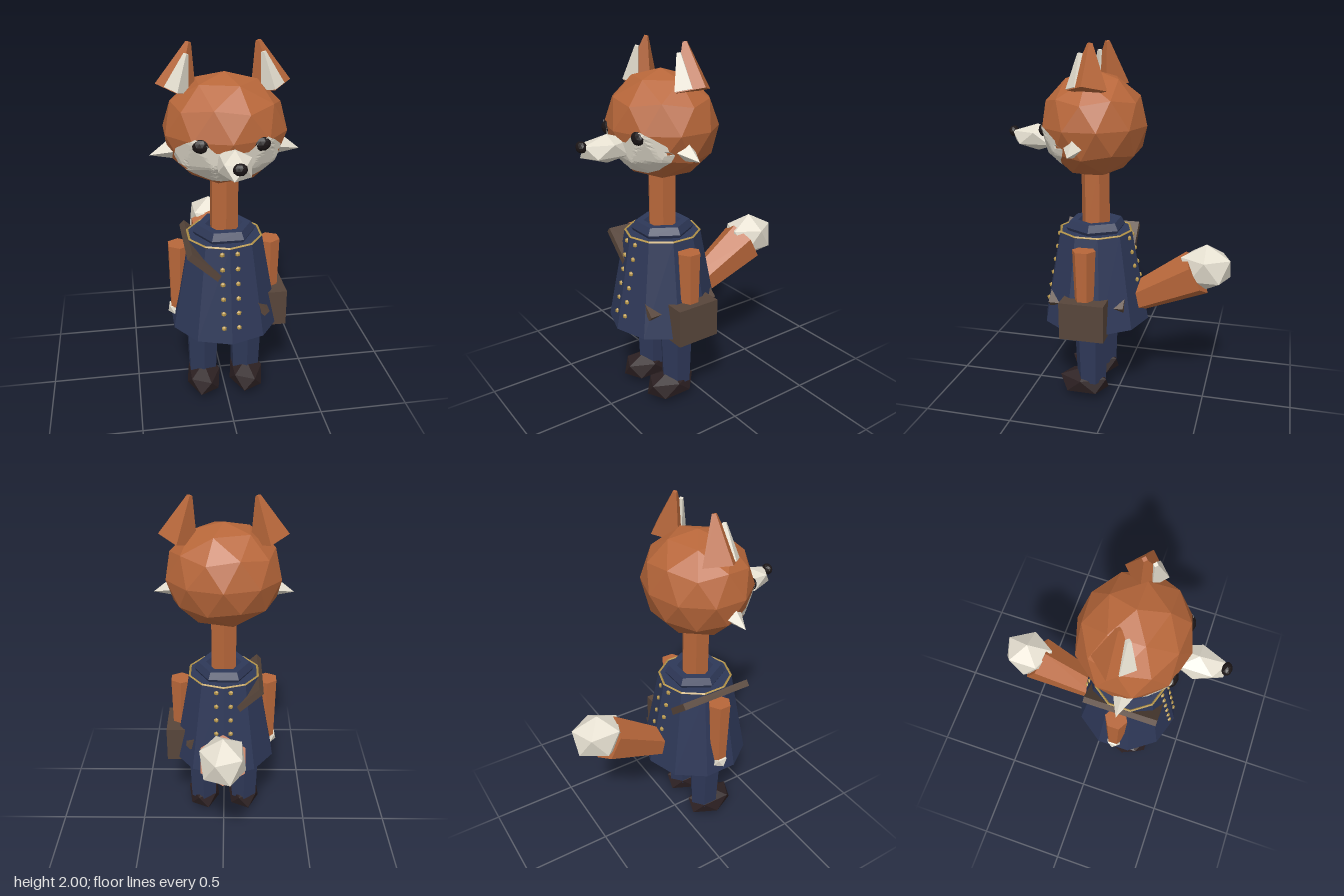
import * as THREE from 'three';

const paint = (name, color) => {
  const m = new THREE.MeshStandardMaterial({ color, flatShading: true });
  m.name = name;
  return m;
};

// Icosahedron with a corner straight up, optionally subdivided
function ico(rx, ry, rz, detail = 0) {
  const v = [0, 1, 0, 0, -1, 0], f = [];
  for (let k = 0; k < 5; k++) {
    const a = k * Math.PI * 0.4, b = a + Math.PI * 0.2, r = 0.8944;
    v.push(r * Math.cos(a), 0.4472, r * Math.sin(a), r * Math.cos(b), -0.4472, r * Math.sin(b));
    const u = 2 + 2 * k, l = u + 1, u2 = 2 + 2 * ((k + 1) % 5), l2 = u2 + 1;
    f.push(0, u2, u, u, u2, l, u2, l2, l, 1, l, l2);
  }
  return new THREE.PolyhedronGeometry(v, f, 1, detail).scale(rx, ry, rz);
}

const tube = (top, bottom, height, sides) => new THREE.CylinderGeometry(top, bottom, height, sides);

export function createModel() {
  const fox = new THREE.Group();
  fox.name = 'fox';
  const orange = paint('orange fur', 0xb8673a);
  const cream = paint('cream fur', 0xe4decf);
  const navy = paint('navy cloth', 0x2e3858);
  const brown = paint('brown leather', 0x57453a);
  const dark = paint('dark boot', 0x2c2022);
  const black = paint('black', 0x1c1617);
  const gold = paint('gold', 0xb5954a);
  const Z = 0.135; // centre line of the body in depth

  const add = (name, geometry, material, x, y, z, rx = 0, ry = 0, rz = 0) => {
    const mesh = new THREE.Mesh(geometry, material);
    mesh.name = name;
    mesh.position.set(x, y, z);
    mesh.rotation.set(rx, ry, rz);
    fox.add(mesh);
    return mesh;
  };

  // Head, neck, muzzle and nose
  const head = add('head', ico(0.32, 0.285, 0.287, 1).translate(0, 1.575, Z), orange, 0, 0, 0);
  add('neck', tube(0.08, 0.08, 0.36, 6), orange, 0, 1.16, Z);
  add('muzzle', ico(0.09, 0.073, 0.162), cream, 0, 1.493, 0.46);
  add('nose', ico(0.035, 0.03, 0.026, 1), black, 0, 1.52, 0.6);

  // Pale face mask laid onto the facets of the head
  const half = [[0, 1.53], [0.08, 1.53], [0.13, 1.575], [0.175, 1.595], [0.215, 1.57], [0.26, 1.525],
    [0.265, 1.48], [0.245, 1.44], [0.175, 1.39], [0.085, 1.355], [0, 1.35]];
  const outline = [...half, ...half.slice(1, -1).reverse().map(([x, y]) => [-x, y])];
  const loop = [];
  outline.forEach(([x, y], i) => {
    const [x2, y2] = outline[(i + 1) % outline.length];
    for (const t of [0, 0.5]) loop.push([x + (x2 - x) * t, y + (y2 - y) * t]);
  });
  const n = loop.length, rings = 14, pos = [], idx = [];
  const ray = new THREE.Raycaster();
  for (let r = 0; r <= rings; r++) {
    for (const [x, y] of loop) {
      const px = x * r / rings, py = 1.46 + (y - 1.46) * r / rings;
      ray.set(new THREE.Vector3(px, py, 2), new THREE.Vector3(0, 0, -1));
      const hit = ray.intersectObject(head)[0];
      pos.push(px, py, (hit ? hit.point.z : Z) + 0.007);
    }
  }
  for (let r = 0; r < rings; r++) {
    for (let i = 0; i < n; i++) {
      const a = r * n + i, b = r * n + (i + 1) % n;
      idx.push(a, b, b + n, a, b + n, a + n);
    }
  }
  // The outline runs clockwise seen from the front, so flip each triangle
  for (let i = 0; i < idx.length; i += 3) [idx[i + 1], idx[i + 2]] = [idx[i + 2], idx[i + 1]];
  for (let i = 0; i < idx.length; i += 3) [idx[i + 1], idx[i + 2]] = [idx[i + 2], idx[i + 1]];
  for (let i = 0; i < idx.length; i += 3) {
    const area = (pos[idx[i + 1] * 3] - pos[idx[i] * 3]) * (pos[idx[i + 2] * 3 + 1] - pos[idx[i] * 3 + 1])
      - (pos[idx[i + 2] * 3] - pos[idx[i] * 3]) * (pos[idx[i + 1] * 3 + 1] - pos[idx[i] * 3 + 1]);
    if (area < 0) [idx[i + 1], idx[i + 2]] = [idx[i + 2], idx[i + 1]];
  }
  const maskGeometry = new THREE.BufferGeometry();
  maskGeometry.setAttribute('position', new THREE.Float32BufferAttribute(pos, 3));
  maskGeometry.setIndex(idx);
  maskGeometry.computeVertexNormals();
  add('faceMask', maskGeometry, cream, 0, 0, 0);

  // Coat with gold trim and a rolled collar
  add('coat', tube(0.207, 0.305, 0.52, 10), navy, 0, 0.73, Z);
  const trim = new THREE.TorusGeometry(0.203, 0.007, 4, 10).rotateZ(Math.PI / 10).rotateX(Math.PI / 2);
  add('coatTrim', trim, gold, 0, 0.989, Z);
  add('collar', new THREE.TorusGeometry(0.125, 0.045, 6, 6).rotateX(Math.PI / 2), navy, 0, 1.008, Z);

  // Two columns of buttons, front and back
  for (let row = 0; row < 6; row++) {
    const y = 0.957 - row * 0.08;
    const depth = 0.207 + (0.99 - y) / 0.52 * 0.098 - 0.012;
    for (const x of [-0.04, 0.04]) {
      add('frontButton', ico(0.015, 0.015, 0.013), gold, x, y, Z + depth);
      if (row < 4) add('backButton', ico(0.015, 0.015, 0.013), gold, x, y, Z - depth);
    }
  }

  // Satchel and its strap crossing the coat
  add('strap', new THREE.BoxGeometry(0.56, 0.038, 0.425), brown, -0.003, 0.78, 0.142, 0, 0, -0.74);
  add('satchel', new THREE.BoxGeometry(0.11, 0.21, 0.248), brown, 0.28, 0.555, 0.132);

  // Paired parts
  for (const s of [-1, 1]) {
    add('eye', ico(0.046, 0.037, 0.03, 1), black, s * 0.145, 1.56, 0.368);

    const tilt = s * 0.29;
    add('ear', tube(0.014, 0.105, 0.235, 4), orange, s * 0.204, 1.887, 0.108, 0, 0, tilt);
    add('innerEar', tube(0.013, 0.062, 0.18, 4), cream, s * 0.213, 1.866, 0.156, 0, 0, tilt);

    const tuft = new THREE.ConeGeometry(0.055, 0.12, 4);
    add('cheekTuft', tuft, cream, s * 0.325, 1.476, 0.172, 0, 0, -s * (Math.PI / 2 + 0.25));

    add('arm', tube(0.065, 0.05, 0.38, 6), orange, s * 0.25, 0.75, Z, 0, 0, s * 0.02);
    add('paw', ico(0.055, 0.048, 0.05), cream, s * 0.265, 0.543, Z);
    add('leg', tube(0.1, 0.085, 0.4, 6), navy, s * 0.125, 0.31, Z);
    add('boot', ico(0.106, 0.086, 0.16), dark, s * 0.125, 0.088, 0.178);
  }

  // Tail with pale tip
  add('tail', tube(0.133, 0.078, 0.43, 6), orange, 0, 0.674, -0.253, -1.08);
  add('tailTip', ico(0.134, 0.132, 0.158), cream, 0, 0.81, -0.49);

  return fox;
}
